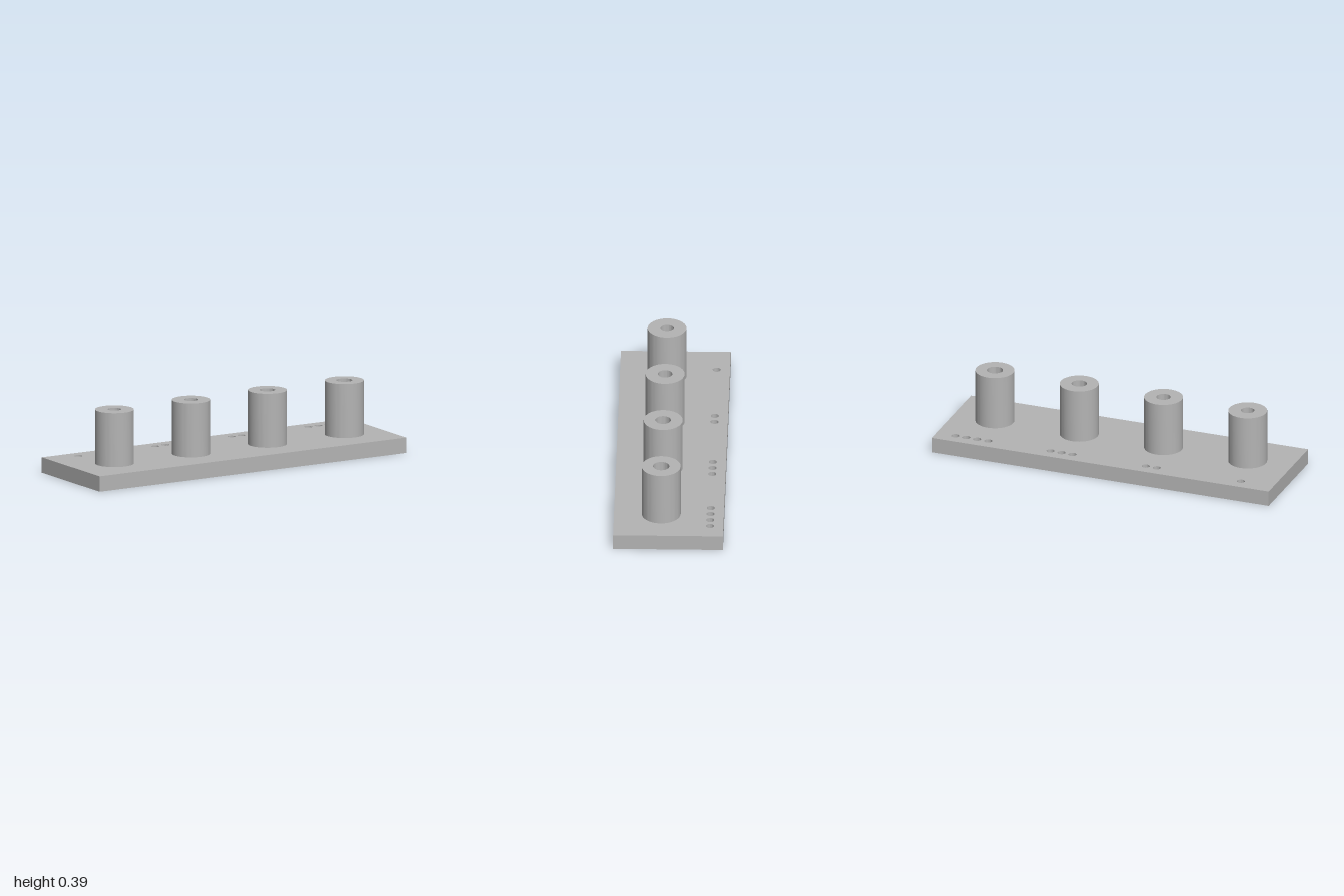
import * as THREE from 'three';
import { toCreasedNormals } from 'three/addons/utils/BufferGeometryUtils.js';

const WIDTH = 2, DEPTH = 0.608, PLATE_TOP = 0.087, POST_TOP = 0.392;
const HOLE_FLOOR = 0.044;            // floor of the small marker holes
const POST_R = 0.108, POST_Z = 0.043;
const DOT_R = 0.022, DOT_Z = -0.23, DOT_STEP = 0.065;

const circle = (Kind, x, y, r) => new Kind().absarc(x, y, r, 0, Math.PI * 2, false);

// Extrude a plan outline upwards from y0 to y1, with round walls smooth and edges sharp
function extrudeUp(shape, y0, y1) {
  const g = new THREE.ExtrudeGeometry(shape, { depth: y1 - y0, bevelEnabled: false, curveSegments: 32 });
  g.rotateX(-Math.PI / 2);
  g.translate(0, y0, 0);
  return toCreasedNormals(g, 0.6);
}

export function createModel() {
  const model = new THREE.Group();
  model.name = 'gaugePlate';
  const grey = new THREE.MeshStandardMaterial({ color: 0xb4b4b4 });
  grey.name = 'grey';

  const add = (name, geometry) => {
    const mesh = new THREE.Mesh(geometry, grey);
    mesh.name = name;
    model.add(mesh);
    return mesh;
  };

  // Solid lower half of the plate, which closes the marker holes
  add('plateBase', new THREE.BoxGeometry(WIDTH, HOLE_FLOOR, DEPTH)).position.y = HOLE_FLOOR / 2;

  // Upper half of the plate, pierced by the marker holes
  const w = WIDTH / 2, d = DEPTH / 2;
  const outline = new THREE.Shape([
    new THREE.Vector2(-w, -d), new THREE.Vector2(w, -d),
    new THREE.Vector2(w, d), new THREE.Vector2(-w, d),
  ]);

  for (let i = 0; i < 4; i++) {
    const x = -0.742 + i * 0.5;

    // One to four marker holes behind each post
    for (let j = 0; j <= i; j++) {
      outline.holes.push(circle(THREE.Path, x + (j - 1) * DOT_STEP, -DOT_Z, DOT_R));
    }

    // Hollow post, with a bore that widens from post to post
    const ring = circle(THREE.Shape, 0, 0, POST_R);
    ring.holes.push(circle(THREE.Path, 0, 0, 0.0375 + i * 0.0025));
    add('post' + (i + 1), extrudeUp(ring, PLATE_TOP, POST_TOP)).position.set(x, 0, POST_Z);
  }

  add('plateTop', extrudeUp(outline, HOLE_FLOOR, PLATE_TOP));
  return model;
}
